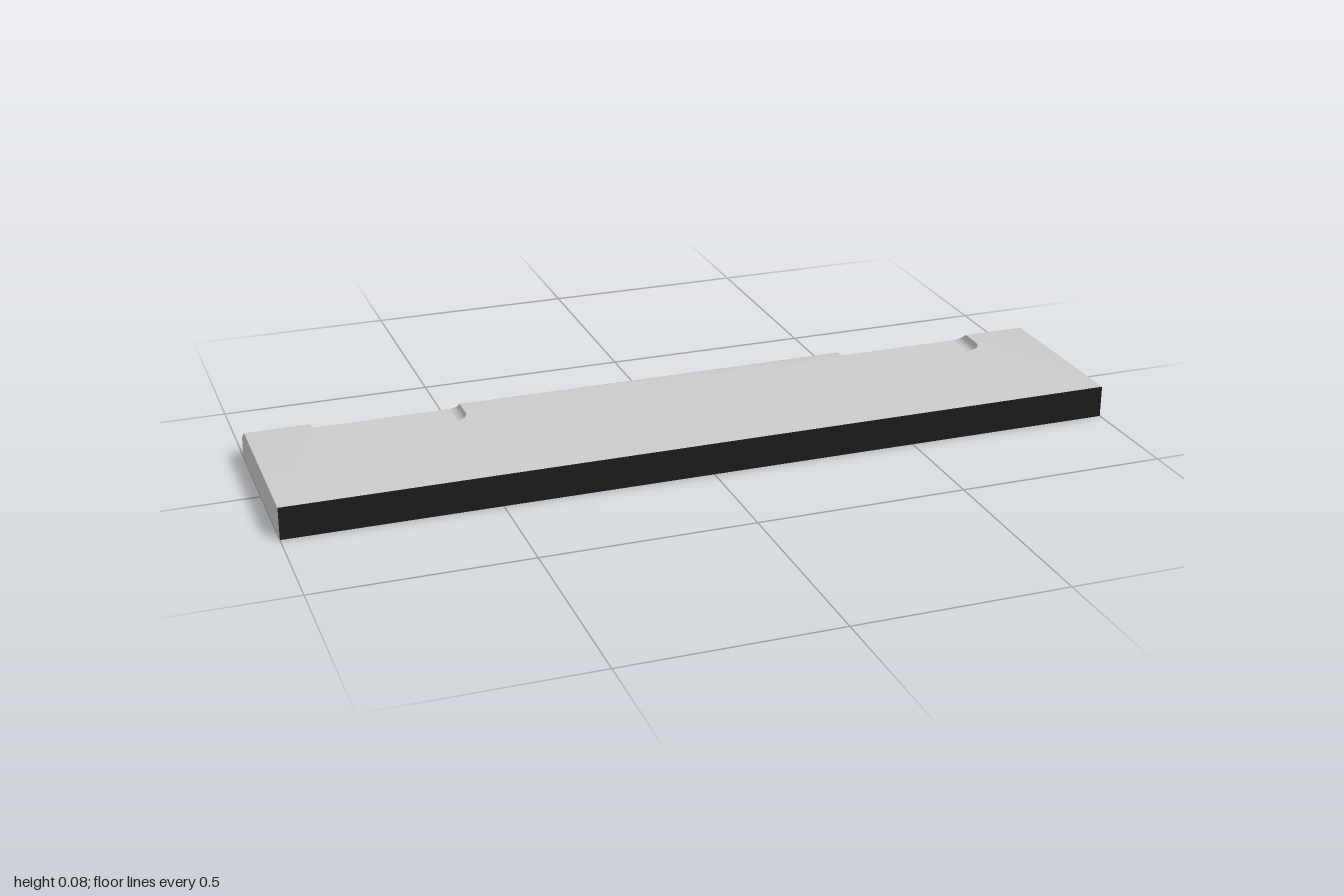
import * as THREE from 'three';
import { toCreasedNormals } from 'three/addons/utils/BufferGeometryUtils.js';

const HALF_DEPTH = 0.231;
const FLOOR = 0.05; // height of the recess floors and the foot of the rear chamfer
const HEIGHT = 0.077;
const RECESS = { x: 0.667, halfWidth: 0.178, front: 0.09, radius: 0.045 };

// Each layer: height, fillet inset of the recess walls, rear limit of z
const LAYERS = [
  [FLOOR, 0.015, -0.231],
  [0.053, 0.007, -0.227],
  [0.058, 0.002, -0.219],
  [0.064, 0, -0.21],
  [0.073, 0, -0.197],
  [0.076, 0, -0.192],
  [HEIGHT, 0, -0.186],
];

// Plan outline with two rounded notches in the rear edge (shape y = -z)
function planShape() {
  const { halfWidth: w, front: f, radius: r } = RECESS;
  const s = new THREE.Shape();
  s.moveTo(-1, -HALF_DEPTH);
  s.lineTo(1, -HALF_DEPTH);
  s.lineTo(1, HALF_DEPTH);
  for (const cx of [RECESS.x, -RECESS.x]) {
    s.lineTo(cx + w, HALF_DEPTH);
    s.lineTo(cx + w, f + r);
    s.absarc(cx + w - r, f + r, r, 0, -Math.PI / 2, true);
    s.lineTo(cx - w + r, f);
    s.absarc(cx - w + r, f + r, r, -Math.PI / 2, -Math.PI, true);
    s.lineTo(cx - w, HALF_DEPTH);
  }
  s.lineTo(-1, HALF_DEPTH);
  s.closePath();
  return s;
}

// Upper layer: extruded outline, then shaped into the chamfer and wall fillets
function topGeometry() {
  const steps = LAYERS.length - 1;
  const geo = new THREE.ExtrudeGeometry(planShape(), {
    depth: steps, steps, bevelEnabled: false, curveSegments: 8,
  });
  geo.rotateX(-Math.PI / 2);
  const p = geo.attributes.position;
  const length = HALF_DEPTH - RECESS.front;
  for (let i = 0; i < p.count; i++) {
    const [y, inset, rear] = LAYERS[Math.round(p.getY(i))];
    let x = p.getX(i);
    let z = p.getZ(i);
    const cx = Math.sign(x) * RECESS.x;
    if (Math.abs(x - cx) < RECESS.halfWidth + 0.001) {
      x = cx + (x - cx) * (1 - inset / RECESS.halfWidth);
      z = -HALF_DEPTH + (z + HALF_DEPTH) * (1 - inset / length);
    }
    p.setXYZ(i, x, y, Math.max(z, rear));
  }
  return toCreasedNormals(geo, 0.55);
}

export function createModel() {
  const group = new THREE.Group();
  const grey = new THREE.MeshStandardMaterial({ color: 0xcccccc });
  const dark = new THREE.MeshStandardMaterial({ color: 0x1a1a1a });
  const add = (name, geo, mat) => {
    const mesh = new THREE.Mesh(geo, mat);
    mesh.name = name;
    group.add(mesh);
    return mesh;
  };

  // Lower slab, whose top shows as the floor of the recesses
  const base = new THREE.BoxGeometry(2, FLOOR, HALF_DEPTH * 2);
  base.translate(0, FLOOR / 2, 0);
  add('baseSlab', base, [grey, grey, grey, dark, dark, grey]);

  // Upper slab with the chamfered rear edge and two recesses
  add('recessedTop', topGeometry(), grey);

  // Dark front face
  const front = add('frontFace', new THREE.PlaneGeometry(2, HEIGHT), dark);
  front.position.set(0, HEIGHT / 2, HALF_DEPTH + 0.0005);

  return group;
}
